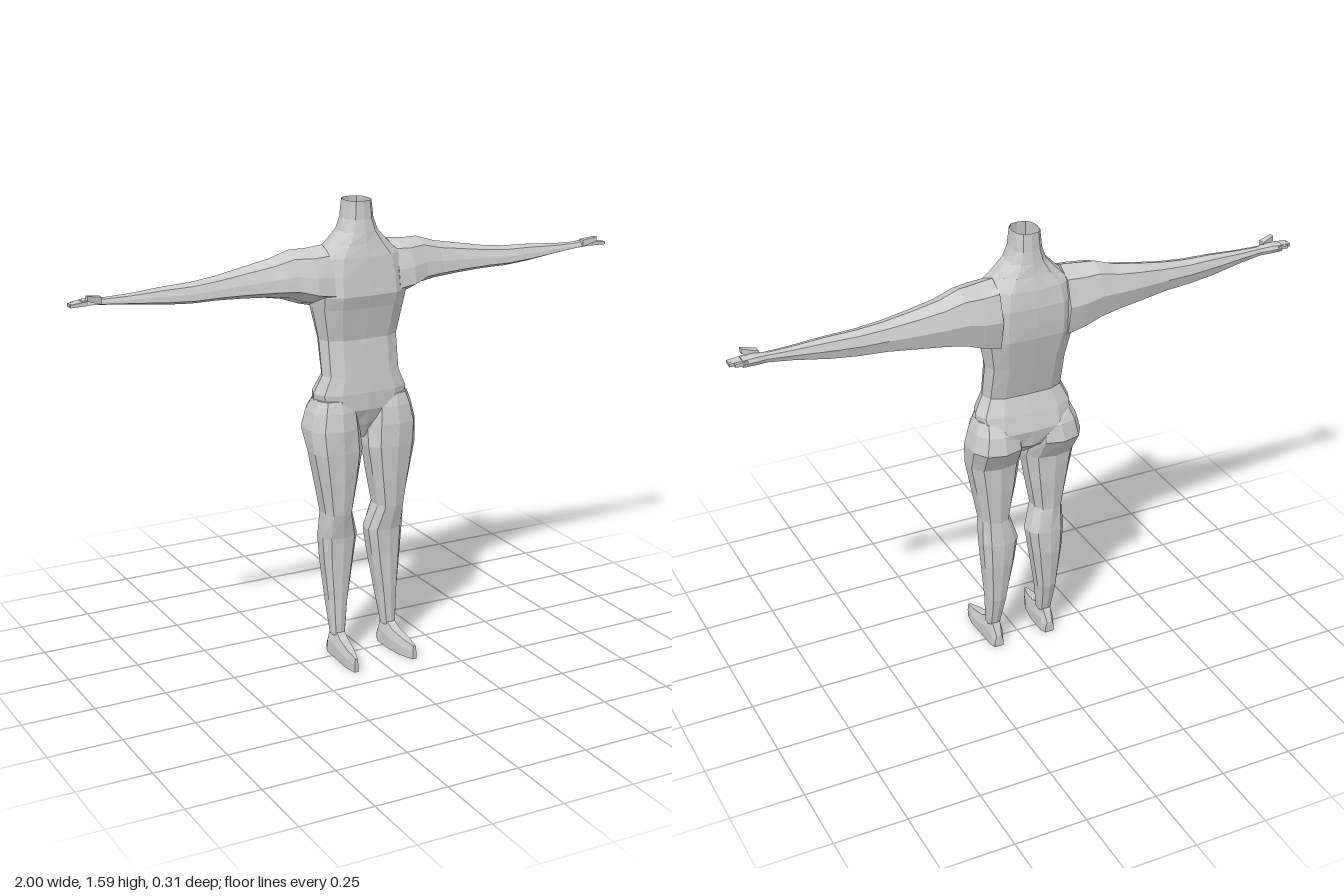
import * as THREE from 'three';

const material = new THREE.MeshStandardMaterial({
  color: 0xcccccc, flatShading: true, side: THREE.DoubleSide,
});

// Skin a list of equal-length rings of Vector3; winding is set so faces point outwards.
function loft(name, rings, capStart = true, capEnd = true) {
  const n = rings[0].length;
  const pts = rings.flat();
  const faces = [];
  for (let i = 0; i < rings.length - 1; i++) {
    for (let j = 0; j < n; j++) {
      const a = i * n + j, b = i * n + (j + 1) % n;
      faces.push([a, b, b + n], [a, b + n, a + n]);
    }
  }
  const last = (rings.length - 1) * n;
  for (let j = 1; j < n - 1; j++) {
    if (capStart) faces.push([0, j + 1, j]);
    if (capEnd) faces.push([last, last + j, last + j + 1]);
  }
  const centre = pts.reduce((s, p) => s.add(p), new THREE.Vector3()).divideScalar(pts.length);
  let volume = 0;
  for (const f of faces) {
    const [a, b, c] = f.map((k) => pts[k].clone().sub(centre));
    volume += a.dot(b.cross(c));
  }
  const geometry = new THREE.BufferGeometry().setFromPoints(pts);
  geometry.setIndex(faces.flatMap(([a, b, c]) => (volume > 0 ? [a, b, c] : [a, c, b])));
  geometry.computeVertexNormals();
  const mesh = new THREE.Mesh(geometry, material);
  mesh.name = name;
  return mesh;
}

// Horizontal rounded ring between two x and two z limits.
function levelRing(y, x0, x1, zFront, zBack, sides, power, groove = 0) {
  const soft = (v) => Math.sign(v) * Math.abs(v) ** power;
  return Array.from({ length: sides }, (_, i) => {
    const a = (i / sides) * Math.PI * 2;
    const s = soft(Math.sin(a)), c = soft(Math.cos(a));
    const dip = Math.abs(s) < 0.01 ? groove * Math.sign(c) : 0;
    return new THREE.Vector3(
      (x0 + x1) / 2 + s * (x1 - x0) / 2, y,
      (zFront + zBack) / 2 + c * (zFront - zBack) / 2 - dip);
  });
}

// Trunk from crotch to open neck: y, half width, front z, back z, centre groove
function trunk() {
  const rows = [
    [0.78, 0.015, -0.01, -0.06, 0],
    [0.83, 0.07, 0.015, -0.12, 0],
    [0.89, 0.165, 0.045, -0.135, 0.006],
    [0.95, 0.172, 0.045, -0.115, 0.005],
    [1.01, 0.143, 0.035, -0.09, 0.004],
    [1.13, 0.143, 0.02, -0.122, 0.005],
    [1.24, 0.165, 0.045, -0.152, 0.008],
    [1.285, 0.17, 0.06, -0.155, 0.008],
    [1.35, 0.165, 0.05, -0.157, 0.008],
    [1.41, 0.15, 0.038, -0.145, 0.006],
    [1.45, 0.105, 0.025, -0.128, 0.003],
    [1.49, 0.066, 0.015, -0.117, 0],
    [1.53, 0.051, 0.006, -0.11, 0],
    [1.59, 0.045, 0, -0.105, 0],
  ];
  return loft('trunk', rows.map(([y, w, f, b, g]) =>
    levelRing(y, -w, w, f, b, 12, 0.78, g)), true, false);
}

// Arm cross-section as fractions: z from back to front, y from bottom to top
const armSection = [[0.45, 1], [0.8, 0.88], [0.95, 0.58], [1, 0.3],
  [0.55, 0.1], [0.1, 0], [0, 0.45], [0.15, 0.85]];

// Arm and palm: x, bottom y, top y, back z, front z
function arm(side) {
  const rows = [
    [0.12, 1.225, 1.446, -0.15, 0.035],
    [0.18, 1.24, 1.44, -0.153, 0.035],
    [0.24, 1.262, 1.438, -0.15, 0.012],
    [0.31, 1.275, 1.415, -0.145, -0.002],
    [0.4, 1.284, 1.398, -0.135, -0.015],
    [0.5, 1.292, 1.38, -0.12, -0.024],
    [0.59, 1.294, 1.37, -0.11, -0.028],
    [0.68, 1.302, 1.367, -0.102, -0.032],
    [0.8, 1.32, 1.358, -0.09, -0.04],
    [0.88, 1.329, 1.356, -0.084, -0.046],
    [0.92, 1.332, 1.36, -0.093, -0.042],
    [0.96, 1.332, 1.357, -0.092, -0.046],
  ];
  return loft('arm', rows.map(([x, y0, y1, z0, z1]) => armSection.map(([u, v]) =>
    new THREE.Vector3(side * x, y0 + (y1 - y0) * v, z0 + (z1 - z0) * u))));
}

function digit(name, side, from, to, size) {
  const ring = ([x, y, z], s) => [[-1, -1], [1, -1], [1, 1], [-1, 1]].map(([u, v]) =>
    new THREE.Vector3(side * x, y + u * s, z + v * s));
  return loft(name, [ring(from, size), ring(to, size * 0.7)]);
}

function hand(side) {
  const group = new THREE.Group();
  group.name = 'hand';
  for (let i = 0; i < 4; i++) {
    const z = -0.085 + i * 0.011;
    group.add(digit('finger', side, [0.945, 1.346, z],
      [i === 0 ? 0.985 : 1, 1.343, z + 0.002], 0.007));
  }
  group.add(digit('thumb', side, [0.9, 1.352, -0.05], [0.95, 1.365, -0.036], 0.012));
  return group;
}

// Leg: y, inner x, outer x, front z, back z
function leg(side) {
  const rows = [
    [0.93, 0.04, 0.17, 0.035, -0.1],
    [0.89, 0.02, 0.187, 0.05, -0.13],
    [0.83, 0.012, 0.202, 0.06, -0.143],
    [0.75, 0.008, 0.195, 0.06, -0.092],
    [0.65, 0.025, 0.175, 0.055, -0.087],
    [0.53, 0.048, 0.152, 0.046, -0.078],
    [0.44, 0.02, 0.157, 0.025, -0.085],
    [0.35, 0.034, 0.15, 0.022, -0.083],
    [0.2, 0.06, 0.134, 0.02, -0.068],
    [0.08, 0.075, 0.125, 0.018, -0.035],
  ];
  return loft('leg', rows.map(([y, x0, x1, f, b]) =>
    levelRing(y, side * x0, side * x1, f, b, 10, 0.82)));
}

// Foot, heel to toe: z, centre x, half width, height
function foot(side) {
  const rows = [
    [-0.06, 0.1, 0.016, 0.042],
    [-0.036, 0.1, 0.024, 0.088],
    [0.018, 0.1, 0.025, 0.09],
    [0.05, 0.102, 0.025, 0.073],
    [0.11, 0.108, 0.021, 0.06],
    [0.16, 0.114, 0.007, 0.05],
  ];
  return loft('foot', rows.map(([z, x, w, h]) =>
    [[-1, 0], [1, 0], [1, 0.55], [0.6, 1], [-0.6, 1], [-1, 0.55]].map(([u, v]) =>
      new THREE.Vector3(side * (x + u * w), h * v, z))));
}

export function createModel() {
  const model = new THREE.Group();
  model.name = 'headlessFigure';
  model.add(trunk());
  for (const [label, side] of [['left', 1], ['right', -1]]) {
    for (const part of [arm(side), hand(side), leg(side), foot(side)]) {
      part.name = label + part.name[0].toUpperCase() + part.name.slice(1);
      model.add(part);
    }
  }
  return model;
}
